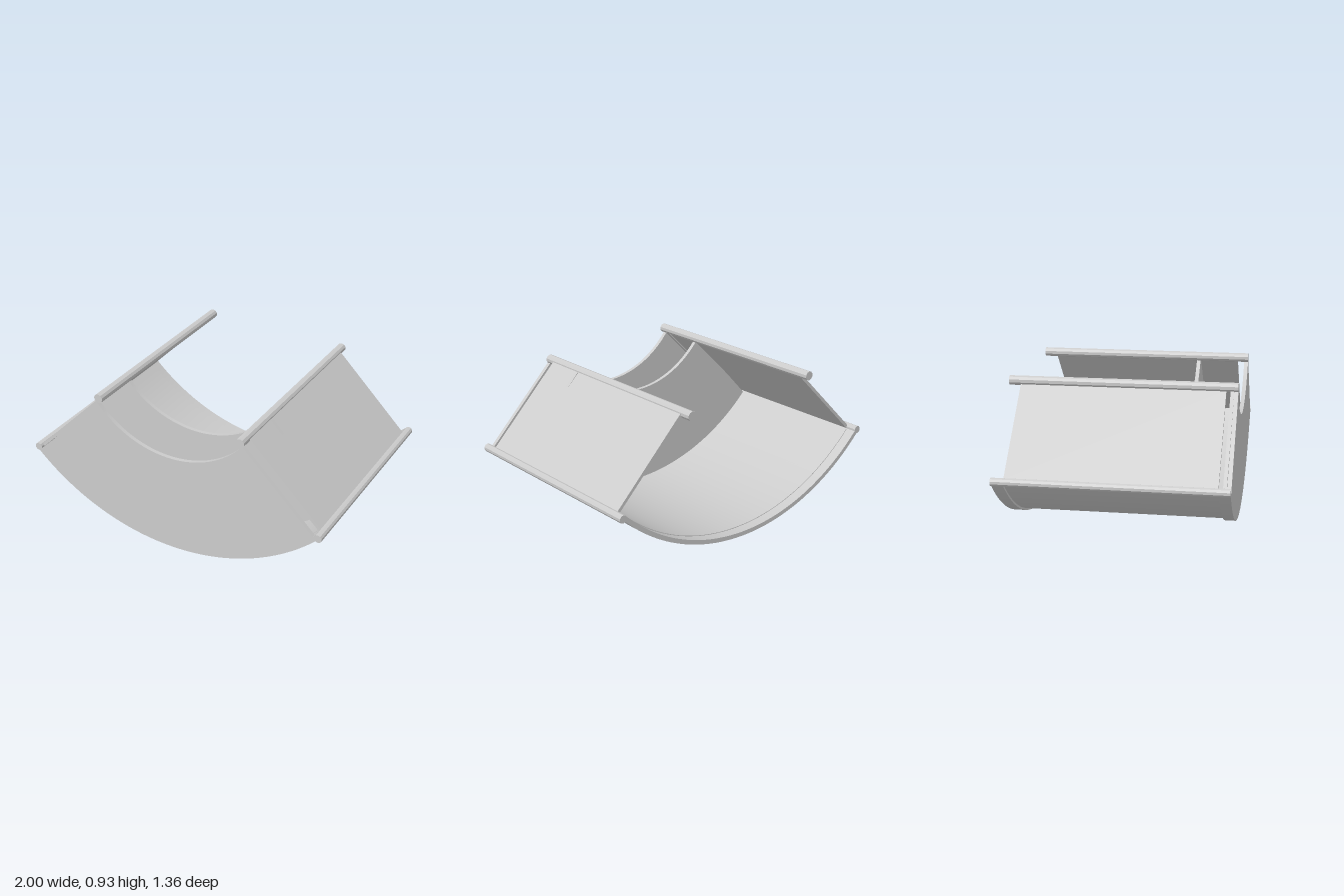
import * as THREE from 'three';
import { toCreasedNormals } from 'three/addons/utils/BufferGeometryUtils.js';

const CY = 1.376; // height of the centre of the curved floor

export function createModel() {
  const group = new THREE.Group();
  const grey = new THREE.MeshStandardMaterial({ color: 0xcccccc, side: THREE.DoubleSide });
  const flat = new THREE.MeshStandardMaterial({ color: 0xcccccc, flatShading: true });

  const add = (name, geometry, material = grey) => {
    const mesh = new THREE.Mesh(geometry, material);
    mesh.name = name;
    group.add(mesh);
    return mesh;
  };

  // Points of an arc below its centre, from angle a to angle b (0 = straight down)
  const arc = (cy, r, a, b, n = 40) => Array.from({ length: n + 1 }, (_, i) => {
    const t = a + (b - a) * i / n;
    return new THREE.Vector2(r * Math.sin(t), cy - r * Math.cos(t));
  });

  // Extrude an outline in the xy plane between two z positions
  const slab = (name, points, z0, z1) => {
    const g = new THREE.ExtrudeGeometry(new THREE.Shape(points), { depth: z1 - z0, bevelEnabled: false });
    g.translate(0, 0, z0);
    add(name, toCreasedNormals(g, 0.5));
  };

  // Curved floor and the thicker rims at both ends
  const band = (name, rOut, rIn, z0, z1) =>
    slab(name, [...arc(CY, rOut, -0.782, 0.782), ...arc(CY, rIn, 0.782, -0.782)], z0, z1);
  band('curvedFloor', 1.364, 1.344, -0.615, 0.615);
  band('backRim', 1.376, 1.348, -0.68, -0.61);
  band('frontRim', 1.376, 1.348, 0.615, 0.68);

  // Fan-shaped plates with a scooped top
  const plate = (name, rOut, topY, left, right, z0, z1) => {
    const r = 0.637, cy = topY + r;
    slab(name, [
      ...arc(CY, rOut, -0.775, 0.775),
      new THREE.Vector2(...right),
      ...arc(cy, r, 0.82, -0.86, 32),
      new THREE.Vector2(...left),
    ], z0, z1);
  };
  plate('frontPlate', 1.376, 0.642, [-0.505, 0.887], [0.482, 0.873], 0.655, 0.68);
  plate('dividerPlate', 1.362, 0.66, [-0.503, 0.885], [0.502, 0.888], 0.343, 0.367);

  // Sloping side panels, given by the line of their outer face
  const panel = (name, top, bottom, z0, z1) => {
    const s = Math.sign(top[0]), d = 0.0141;
    slab(name, [
      new THREE.Vector2(...top),
      new THREE.Vector2(...bottom),
      new THREE.Vector2(bottom[0] - s * d, bottom[1] - d),
      new THREE.Vector2(top[0] - s * d, top[1] - d),
    ], z0, z1);
  };
  panel('leftPanel', [0.496, 0.888], [0.966, 0.42], -0.61, 0.61);
  panel('rightPanel', [-0.503, 0.889], [-0.963, 0.436], -0.61, 0.61);
  panel('rightFrontStrip', [-0.503, 0.889], [-0.963, 0.436], 0.635, 0.656);

  // Long rods along the four corners
  const rods = [
    ['rightTopRod', -0.487, 0.905, 0.029],
    ['leftTopRod', 0.47, 0.885, 0.029],
    ['rightLowerRod', -0.975, 0.424, 0.025],
    ['leftLowerRod', 0.974, 0.41, 0.025],
  ];
  for (const [name, x, y, r] of rods) {
    const rod = add(name, new THREE.CylinderGeometry(r, r, 1.36, 10).rotateX(Math.PI / 2), flat);
    rod.position.set(x, y, 0);
  }
  return group;
}
